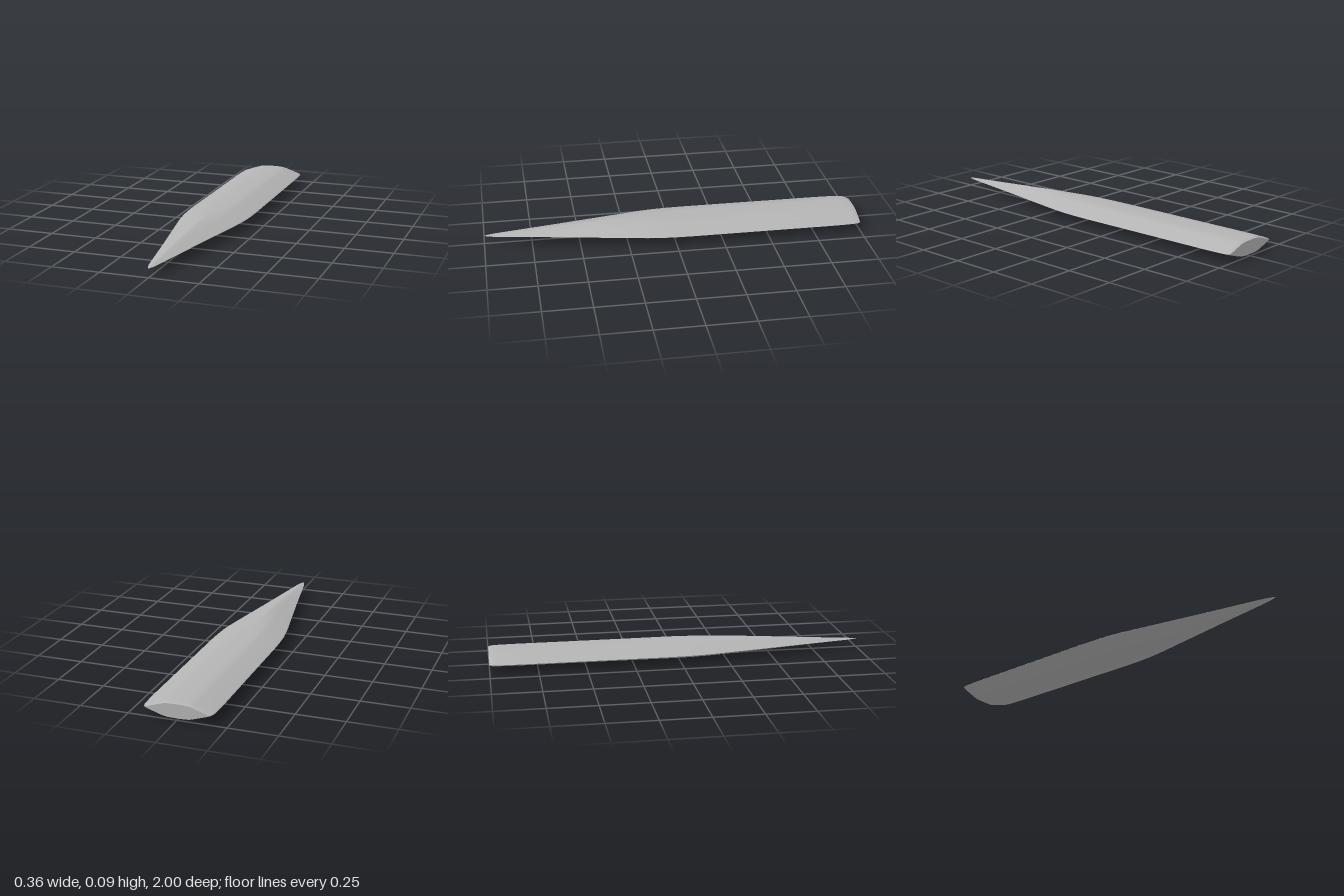
import * as THREE from 'three';

const MID = 0.0455;
// stations along the blade: z, half width, half height
const STATIONS = [
  [-1, 0.163, 0.036], [-0.99, 0.171, 0.039], [-0.97, 0.176, 0.041], [-0.92, 0.179, 0.0415],
  [-0.84, 0.181, 0.0418], [-0.5, 0.181, 0.042], [-0.2, 0.181, 0.0425], [-0.08, 0.181, 0.043],
  [0, 0.179, 0.0437], [0.08, 0.174, 0.0445], [0.15, 0.165, 0.0453], [0.22, 0.153, 0.0455],
  [0.3, 0.138, 0.0452], [0.37, 0.125, 0.043], [0.45, 0.11, 0.038], [0.6, 0.082, 0.028],
  [0.75, 0.055, 0.0178], [0.88, 0.032, 0.009], [0.95, 0.019, 0.0043], [0.98, 0.01, 0.002], [1, 0.001, 0.0005],
];
// half profile: u across, v of the flat-topped body, v of the ridged point
const PROFILE = [
  [0, 1, 1], [0.06, 1, 0.965], [0.18, 0.99, 0.88], [0.3, 0.965, 0.77], [0.38, 0.92, 0.69],
  [0.46, 0.84, 0.6], [0.7, 0.49, 0.34], [0.94, 0.13, 0.08], [0.985, 0.05, 0.025], [1, 0, 0],
];

// upper outline of the section at one station, from -x to +x
function section([z, w, h]) {
  const t = THREE.MathUtils.smoothstep(z, -0.05, 0.45);
  const half = PROFILE.map(([u, a, b]) => [u * w, THREE.MathUtils.lerp(a, b, t) * h]);
  return [...half.slice(1).reverse().map(([x, y]) => [-x, y]), ...half];
}

// one face of the blade; the lower face is the upper one turned half round z
function faceGeometry(s) {
  const pos = [], idx = [], n = PROFILE.length * 2 - 1;
  STATIONS.forEach((st, j) => {
    section(st).forEach(([x, y], i) => {
      pos.push(x * s, MID + y * s, st[0]);
      if (j < STATIONS.length - 1 && i < n - 1) {
        const a = j * n + i;
        idx.push(a, a + n, a + 1, a + 1, a + n, a + n + 1);
      }
    });
  });
  const g = new THREE.BufferGeometry();
  g.setAttribute('position', new THREE.Float32BufferAttribute(pos, 3));
  g.setIndex(idx);
  g.computeVertexNormals();
  return g;
}

export function createModel() {
  const steel = new THREE.MeshStandardMaterial({ color: 0xb4b4b4 });
  steel.name = 'grey steel';
  const group = new THREE.Group();
  group.name = 'blade';
  const add = (name, geometry) => {
    const mesh = new THREE.Mesh(geometry, steel);
    mesh.name = name;
    group.add(mesh);
  };

  add('upperFace', faceGeometry(1));
  add('lowerFace', faceGeometry(-1));

  // flat end at the back
  const top = section(STATIONS[0]);
  const outline = [...top, ...top.slice(1, -1).map(([x, y]) => [-x, -y])];
  const cap = new THREE.ShapeGeometry(new THREE.Shape(outline.map(([x, y]) => new THREE.Vector2(x, y))));
  cap.rotateY(Math.PI).translate(0, MID, -1);
  add('backEnd', cap);
  return group;
}
